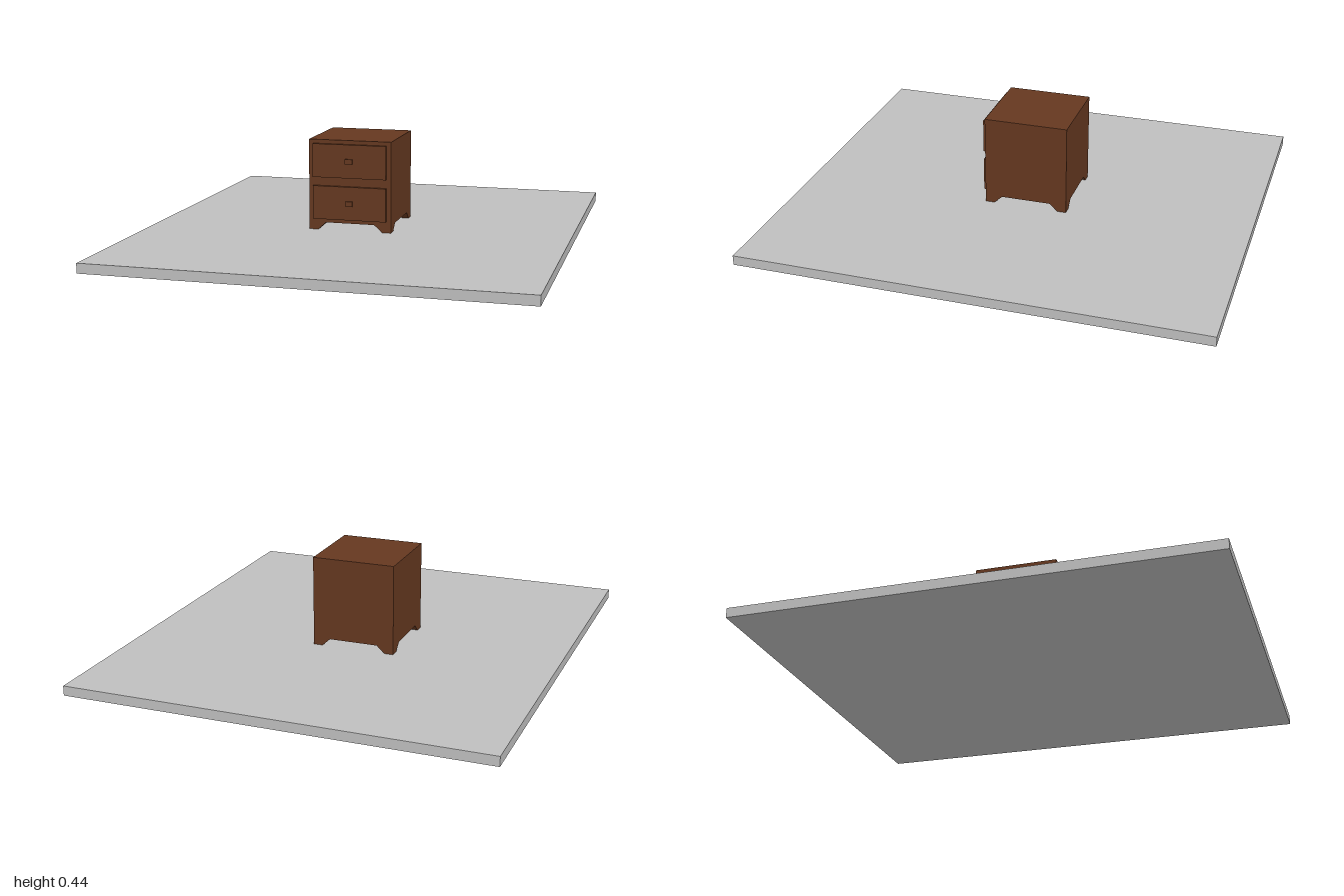
import * as THREE from 'three';

export function createModel() {
  const model = new THREE.Group();
  model.name = 'nightstandOnFloor';
  const wood = new THREE.MeshStandardMaterial({ color: 0x653820 });
  wood.name = 'brown wood';
  const stone = new THREE.MeshStandardMaterial({ color: 0xbfbfbf });
  stone.name = 'grey floor';

  const addBox = (parent, name, material, size, position) => {
    const mesh = new THREE.Mesh(new THREE.BoxGeometry(...size), material);
    mesh.name = name;
    mesh.position.set(...position);
    parent.add(mesh);
    return mesh;
  };

  // Floor slab
  const floorTop = 0.042;
  addBox(model, 'floorSlab', stone, [1.82, floorTop, 2], [0, floorTop / 2, 0]);

  // Cabinet, placed by the centre of its footprint
  const cabinet = new THREE.Group();
  cabinet.name = 'nightstand';
  cabinet.position.set(-0.034, 0, -0.018);
  model.add(cabinet);

  const half = 0.183;
  const bodyBottom = 0.074;
  const bodyTop = 0.438;
  addBox(cabinet, 'body', wood, [half * 2, bodyTop - bodyBottom, half * 2], [0, (bodyTop + bodyBottom) / 2, 0]);

  // Corner feet: outer faces upright, inner faces tapering toward the floor
  const footTop = 0.075, footBottom = 0.04, footHeight = bodyBottom - floorTop;
  for (const sx of [-1, 1]) {
    for (const sz of [-1, 1]) {
      const foot = addBox(cabinet, 'foot', wood, [footTop, footHeight, footTop],
        [sx * (half - footTop / 2), floorTop + footHeight / 2, sz * (half - footTop / 2)]);
      const p = foot.geometry.attributes.position;
      for (let i = 0; i < p.count; i++) {
        if (p.getY(i) > 0) continue;
        const inner = footTop / 2 - footBottom;
        if (p.getX(i) * sx < 0) p.setX(i, sx * inner);
        if (p.getZ(i) * sz < 0) p.setZ(i, sz * inner);
      }
      foot.geometry = foot.geometry.toNonIndexed();
      foot.geometry.computeVertexNormals();
    }
  }

  // Two drawer fronts, each with a small handle
  const drawerDepth = 0.014, handleDepth = 0.009;
  [['lower', 0.164], ['upper', 0.348]].forEach(([level, y]) => {
    addBox(cabinet, level + 'DrawerFront', wood, [0.326, 0.146, drawerDepth], [0, y, half + drawerDepth / 2]);
    addBox(cabinet, level + 'DrawerHandle', wood, [0.032, 0.022, handleDepth],
      [0, y, half + drawerDepth + handleDepth / 2]);
  });

  return model;
}
